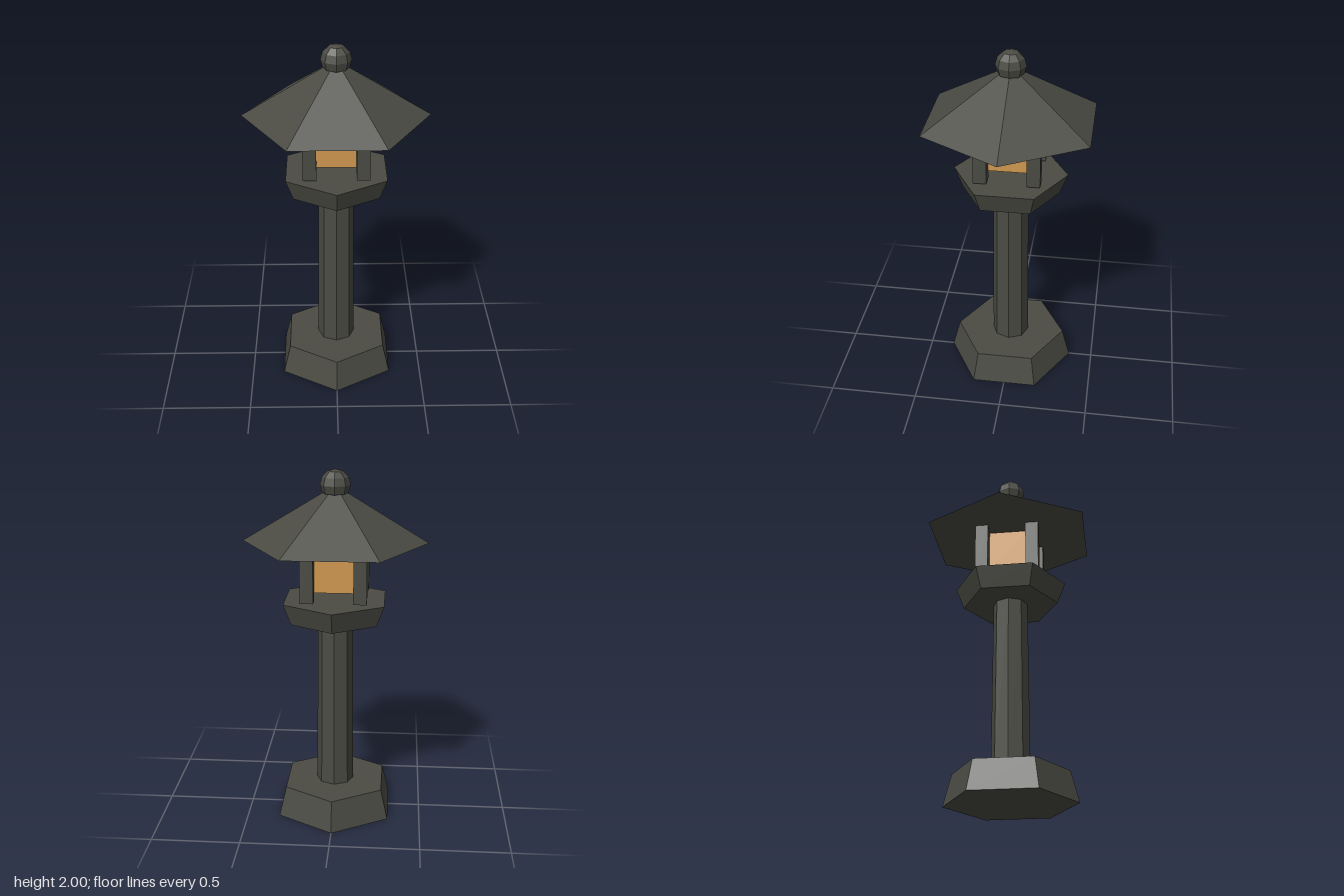
import * as THREE from 'three';

export function createModel() {
  const lantern = new THREE.Group();
  lantern.name = 'stoneLantern';

  const stone = new THREE.MeshStandardMaterial({ color: 0x4b4b44, flatShading: true });
  stone.name = 'dark stone';
  const glow = new THREE.MeshStandardMaterial({ color: 0xd1984f, flatShading: true });
  glow.name = 'amber light';

  function add(name, geometry, material, x, y, z) {
    const mesh = new THREE.Mesh(geometry, material);
    mesh.name = name;
    mesh.position.set(x, y, z);
    lantern.add(mesh);
    return mesh;
  }

  // Tapered prism standing between two heights
  function prism(name, bottomRadius, topRadius, y0, y1, sides) {
    const geometry = new THREE.CylinderGeometry(topRadius, bottomRadius, y1 - y0, sides);
    return add(name, geometry, stone, 0, (y0 + y1) / 2, 0);
  }

  // Foot, shaft and the flared platform
  prism('base', 0.364, 0.318, 0, 0.175, 6);
  prism('shaft', 0.107, 0.098, 0.17, 1.17, 8);
  prism('platform', 0.272, 0.318, 1.165, 1.285, 6);

  // Light box with a post at each corner
  add('lightBox', new THREE.BoxGeometry(0.218, 0.25, 0.218), glow, 0, 1.467, 0);
  for (const x of [-0.145, 0.145]) {
    for (const z of [-0.145, 0.145]) {
      add('cornerPost', new THREE.BoxGeometry(0.073, 0.31, 0.073), stone, x, 1.455, z);
    }
  }

  // Hexagonal roof with corners on the x axis, and the ball on top
  prism('roof', 0.51, 0, 1.604, 1.913, 6).rotation.y = Math.PI / 6;
  add('finial', new THREE.SphereGeometry(0.083, 8, 6), stone, 0, 1.917, 0);

  return lantern;
}
